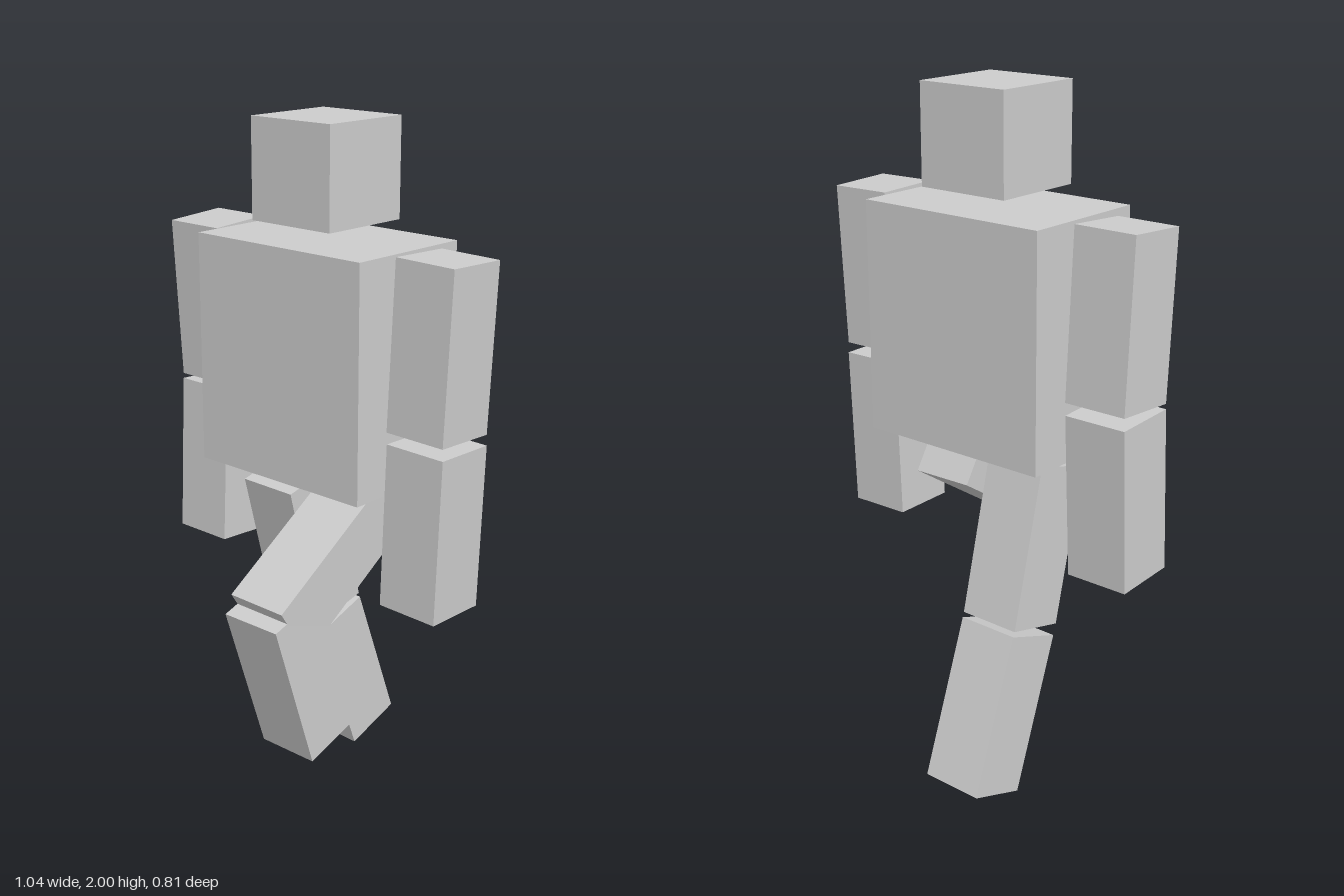
import * as THREE from 'three';

// Blocky walking figure made of plain boxes.
export function createModel() {
  const group = new THREE.Group();
  const material = new THREE.MeshStandardMaterial({ color: 0xcccccc, flatShading: true });

  function block(name, size, position, rx = 0, ry = 0, rz = 0) {
    const mesh = new THREE.Mesh(new THREE.BoxGeometry(...size), material);
    mesh.name = name;
    mesh.position.set(...position);
    mesh.rotation.set(rx, ry, rz);
    group.add(mesh);
  }

  const limb = [0.19, 0.472, 0.19];

  // Head and body
  block('head', [0.285, 0.28, 0.285], [0, 1.86, -0.044]);
  block('torso', [0.596, 0.663, 0.4], [0, 1.343, -0.044]);

  // Arms, hanging with a slight swing
  block('leftUpperArm', limb, [0.42, 1.437, -0.036], -0.03, 0, -0.02);
  block('leftForearm', limb, [0.411, 0.933, -0.027], -0.015, 0, -0.02);
  block('rightUpperArm', limb, [-0.428, 1.437, -0.056], 0.06);
  block('rightForearm', limb, [-0.428, 0.94, -0.057], -0.05);

  // Left leg raised forward, knee bent
  block('leftThigh', [0.19, 0.495, 0.19], [0.134, 0.807, 0.122], -0.99, 0.015);
  block('leftShin', limb, [0.134, 0.505, 0.242], 0.307, 0.015);

  // Right leg trailing behind
  block('rightThigh', limb, [-0.132, 0.73, -0.089], 0.25, -0.015);
  block('rightShin', limb, [-0.132, 0.256, -0.237], 0.353, -0.015);

  return group;
}
